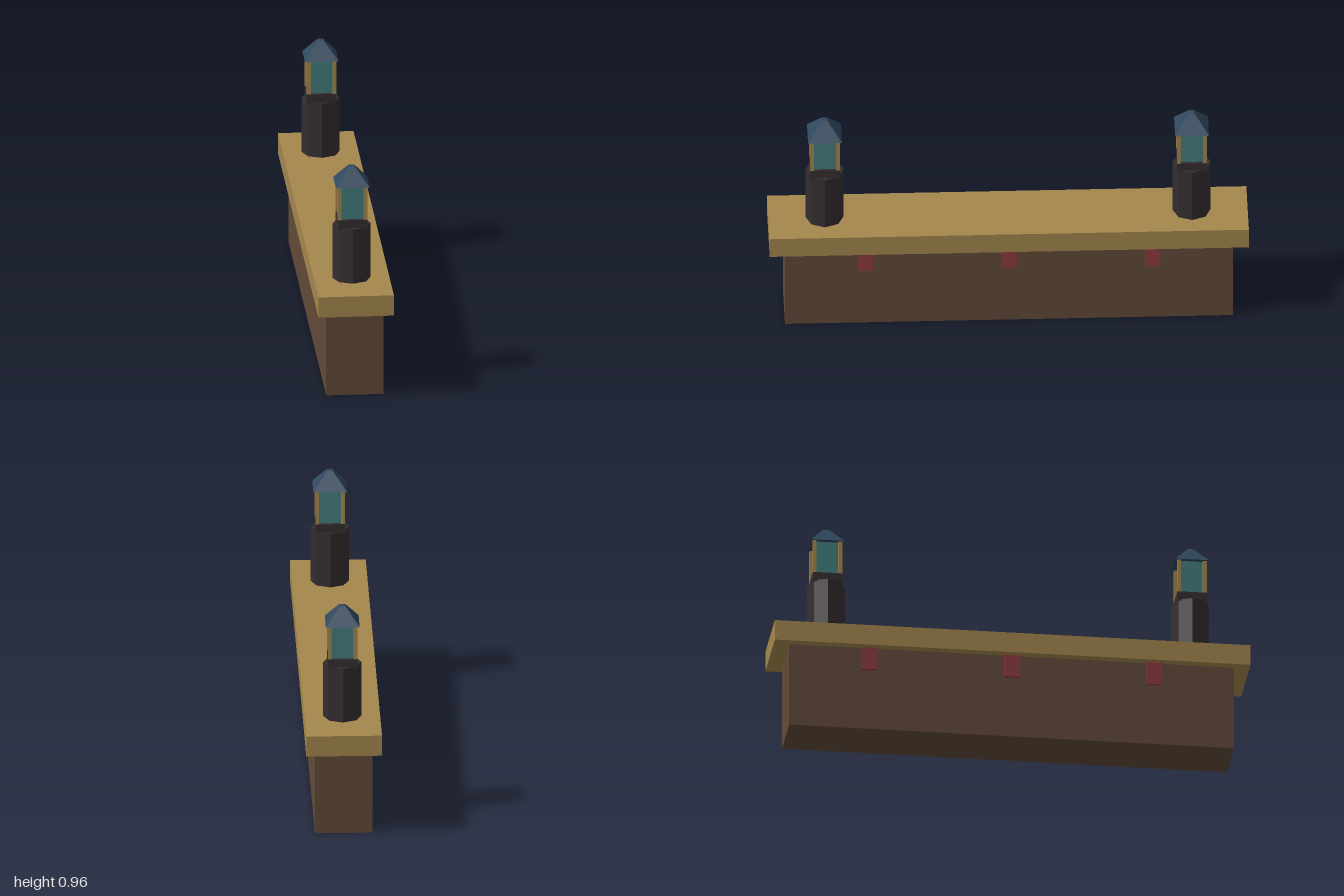
import * as THREE from 'three';

const paint = (name, color) => {
  const m = new THREE.MeshStandardMaterial({ color });
  m.name = name;
  return m;
};

export function createModel() {
  const stone = paint('brownStone', 0x624a38);
  const gold = paint('ochre', 0xa5874d);
  const red = paint('red', 0x8e3b40);
  const iron = paint('darkIron', 0x342d2f);
  const glass = paint('tealGlass', 0x447f80);
  const slate = paint('blueSlate', 0x30485e);

  const add = (parent, name, geometry, material, x, y, z) => {
    const mesh = new THREE.Mesh(geometry, material);
    mesh.name = name;
    mesh.position.set(x, y, z);
    parent.add(mesh);
    return mesh;
  };
  // Box given by its bottom and top heights
  const box = (parent, name, material, w, y0, y1, d, x = 0, z = 0) =>
    add(parent, name, new THREE.BoxGeometry(w, y1 - y0, d), material, x, (y0 + y1) / 2, z);
  // Faceted column or frustum
  const prism = (rTop, rBottom, h, sides) => {
    const g = new THREE.CylinderGeometry(rTop, rBottom, h, sides).toNonIndexed();
    g.computeVertexNormals();
    return g;
  };

  const model = new THREE.Group();
  model.name = 'parapetWall';

  // Wall and overhanging coping
  box(model, 'wall', stone, 0.24, 0, 0.37, 1.87);
  box(model, 'coping', gold, 0.316, 0.37, 0.46, 2);

  // Small brackets under the coping on both sides
  for (const side of [-1, 1])
    for (const z of [-0.6, 0, 0.6])
      box(model, 'bracket', red, 0.024, 0.27, 0.37, 0.064, side * 0.12, z);

  // Lantern posts near both ends
  for (const end of [-1, 1]) {
    const lantern = new THREE.Group();
    lantern.name = end > 0 ? 'frontLantern' : 'backLantern';
    lantern.position.z = end * 0.766;
    model.add(lantern);

    add(lantern, 'post', prism(0.08, 0.08, 0.24, 8), iron, 0, 0.58, 0);
    box(lantern, 'lanternBase', iron, 0.124, 0.695, 0.736, 0.124);
    box(lantern, 'lanternGlass', glass, 0.1, 0.736, 0.884, 0.1);
    for (const x of [-1, 1])
      for (const z of [-1, 1])
        box(lantern, 'cornerBar', gold, 0.016, 0.736, 0.886, 0.016, x * 0.054, z * 0.054);
    const roof = add(lantern, 'lanternRoof', prism(0.017, 0.1, 0.074, 4), slate, 0, 0.919, 0);
    roof.rotation.y = Math.PI / 4;
  }
  return model;
}
